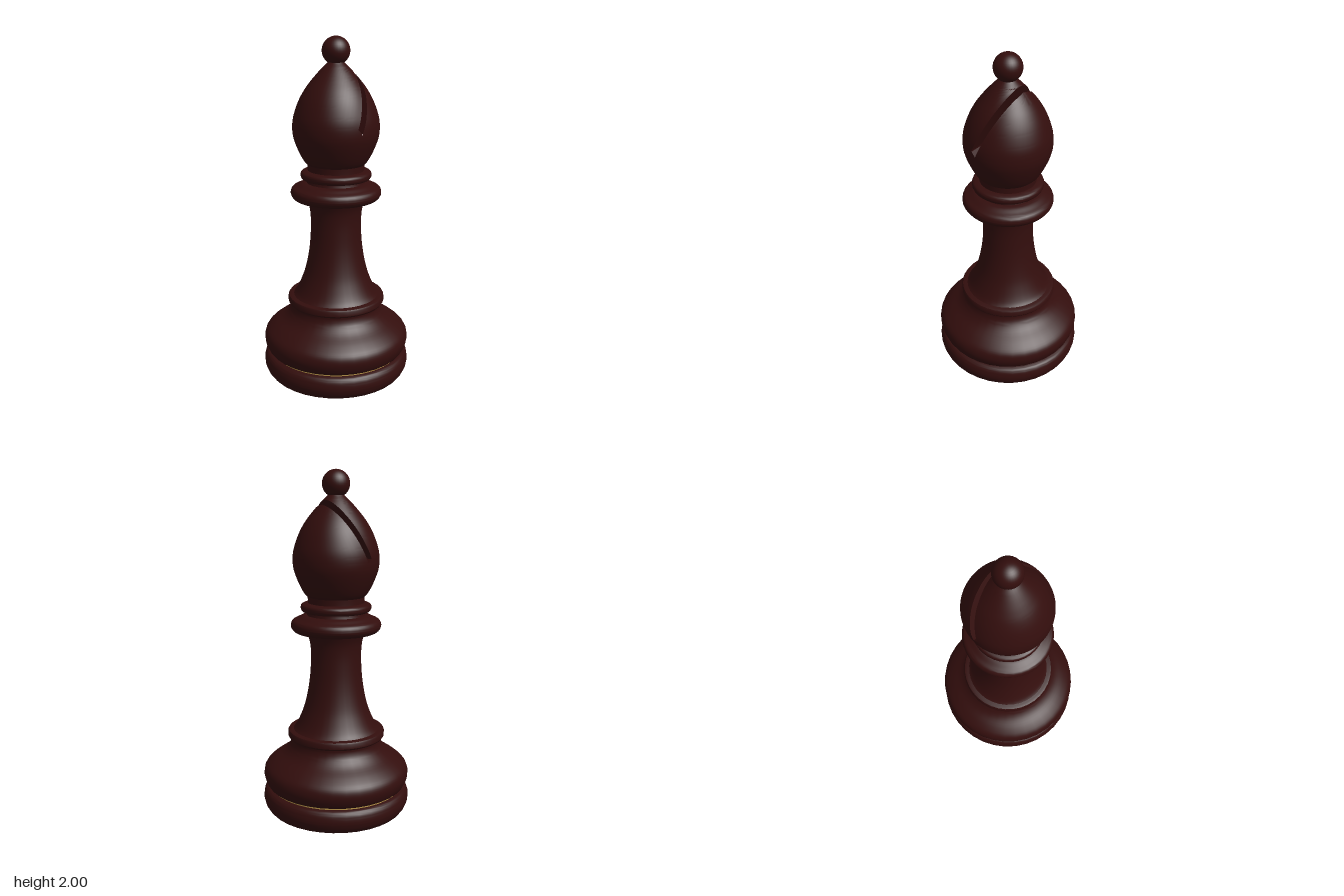
import * as THREE from 'three';
import { mergeGeometries, toCreasedNormals } from 'three/addons/utils/BufferGeometryUtils.js';

const SIDES = 36;
const CREASE = 0.6;

export function createModel() {
  const model = new THREE.Group();
  model.name = 'chessBishop';

  const wood = new THREE.MeshStandardMaterial({ color: 0x330e0d });
  wood.name = 'darkRedWood';
  const gold = new THREE.MeshStandardMaterial({ color: 0xb8964a });
  gold.name = 'gold';

  const add = (name, geometry, material = wood) => {
    const mesh = new THREE.Mesh(geometry, material);
    mesh.name = name;
    model.add(mesh);
    return mesh;
  };
  const curveOf = (pts) => new THREE.SplineCurve(pts.map(([r, y]) => new THREE.Vector2(r, y)));

  // Turned part: smooth profile of [radius, height], optionally closed to the axis
  const turned = (name, pts, { smooth = true, capBottom = false, capTop = false, material = wood } = {}) => {
    const profile = smooth ? curveOf(pts).getPoints((pts.length - 1) * 4) : pts.map(([r, y]) => new THREE.Vector2(r, y));
    if (capBottom) profile.unshift(new THREE.Vector2(0, profile[0].y));
    if (capTop) profile.push(new THREE.Vector2(0, profile[profile.length - 1].y));
    return add(name, toCreasedNormals(new THREE.LatheGeometry(profile, SIDES), CREASE), material);
  };
  const caps = { capBottom: true, capTop: true };

  // Base, inlaid band and foot
  turned('footPad', [[0.165, 0], [0.165, 0.012]], { smooth: false, ...caps });
  turned('base', [[0.408, 0.008], [0.425, 0.03], [0.436, 0.06], [0.438, 0.085], [0.432, 0.115], [0.418, 0.135], [0.397, 0.142]], caps);
  turned('goldBand', [[0.396, 0.138], [0.396, 0.158]], { smooth: false, material: gold });
  turned('foot', [[0.397, 0.154], [0.412, 0.158], [0.428, 0.19], [0.434, 0.23], [0.42, 0.272], [0.375, 0.312],
    [0.315, 0.352], [0.28, 0.39], [0.267, 0.425], [0.268, 0.45]], caps);
  turned('footRing', [[0.268, 0.443], [0.28, 0.446], [0.287, 0.456], [0.287, 0.482], [0.282, 0.491], [0.268, 0.495]], { smooth: false, ...caps });

  // Stem
  turned('stem', [[0.258, 0.49], [0.238, 0.515], [0.213, 0.565], [0.187, 0.635], [0.167, 0.72], [0.154, 0.81],
    [0.148, 0.9], [0.148, 0.97], [0.155, 1.03], [0.175, 1.085]]);

  // Collars and neck
  turned('collar', [[0.18, 1.075], [0.235, 1.082], [0.256, 1.1], [0.263, 1.122], [0.253, 1.148], [0.225, 1.162], [0.198, 1.175], [0.175, 1.18]], caps);
  turned('neck', [[0.172, 1.17], [0.165, 1.2], [0.163, 1.25], [0.165, 1.295]]);
  turned('upperRing', [[0.165, 1.198], [0.194, 1.202], [0.205, 1.222], [0.198, 1.243], [0.165, 1.252]], caps);

  // Mitre: turned shell cut right through by a slanted slot
  add('mitre', mitreGeometry(curveOf([[0.163, 1.285], [0.182, 1.305], [0.205, 1.345], [0.229, 1.4], [0.244, 1.45], [0.248, 1.5],
    [0.243, 1.55], [0.227, 1.605], [0.204, 1.66], [0.174, 1.712], [0.14, 1.757], [0.104, 1.799], [0.073, 1.832], [0.042, 1.862], [0.035, 1.88]])));
  add('mitreUnderside', new THREE.CircleGeometry(0.164, SIDES).rotateX(Math.PI / 2)).position.y = 1.286;

  // Finial ball
  add('finial', new THREE.SphereGeometry(0.079, 32, 20)).position.y = 1.921;

  return model;
}

function mitreGeometry(profile) {
  const rows = profile.getPoints(90);
  const corner = { x: -0.035, y: 1.49 };
  const inner = { x: -0.063, y: 1.516 };
  const slope = 0.432;

  // Slot edges in x at each height; below the slot both edges meet
  const rightEdge = (y) => corner.x + Math.max(0, y - corner.y) * slope;
  const leftEdge = (y) => {
    if (y <= corner.y) return corner.x;
    if (y >= inner.y) return inner.x + (y - inner.y) * slope;
    return THREE.MathUtils.mapLinear(y, corner.y, inner.y, corner.x, inner.x);
  };

  const loft = (columns, pointAt) => {
    const positions = [];
    const index = [];
    rows.forEach(({ x: r, y }, j) => {
      for (let i = 0; i <= columns; i++) {
        positions.push(...pointAt(r, y, i / columns));
        if (j && i) {
          const d = j * (columns + 1) + i;
          const b = d - columns - 1;
          index.push(b - 1, d - 1, b, b, d - 1, d);
        }
      }
    });
    const geometry = new THREE.BufferGeometry();
    geometry.setAttribute('position', new THREE.Float32BufferAttribute(positions, 3));
    geometry.setIndex(index);
    return geometry;
  };

  // Outer arc on one side of the slot
  const shell = (edge, left) => loft(28, (r, y, u) => {
    const a = Math.acos(Math.min(1, edge(y) / r));
    const t = left ? a + u * (2 * Math.PI - 2 * a) : (2 * u - 1) * a;
    return [r * Math.cos(t), y, r * Math.sin(t)];
  });
  // Flat slot wall, collapsed where there is no slot
  const wall = (edge, dir) => loft(8, (r, y, u) => {
    const x = Math.min(r, edge(y));
    const half = y < corner.y ? 0 : Math.sqrt(Math.max(0, r * r - x * x));
    return [x, y, dir * (2 * u - 1) * half];
  });

  const parts = [shell(leftEdge, true), shell(rightEdge, false), wall(leftEdge, 1), wall(rightEdge, -1)];
  return toCreasedNormals(mergeGeometries(parts), 0.6);
}
